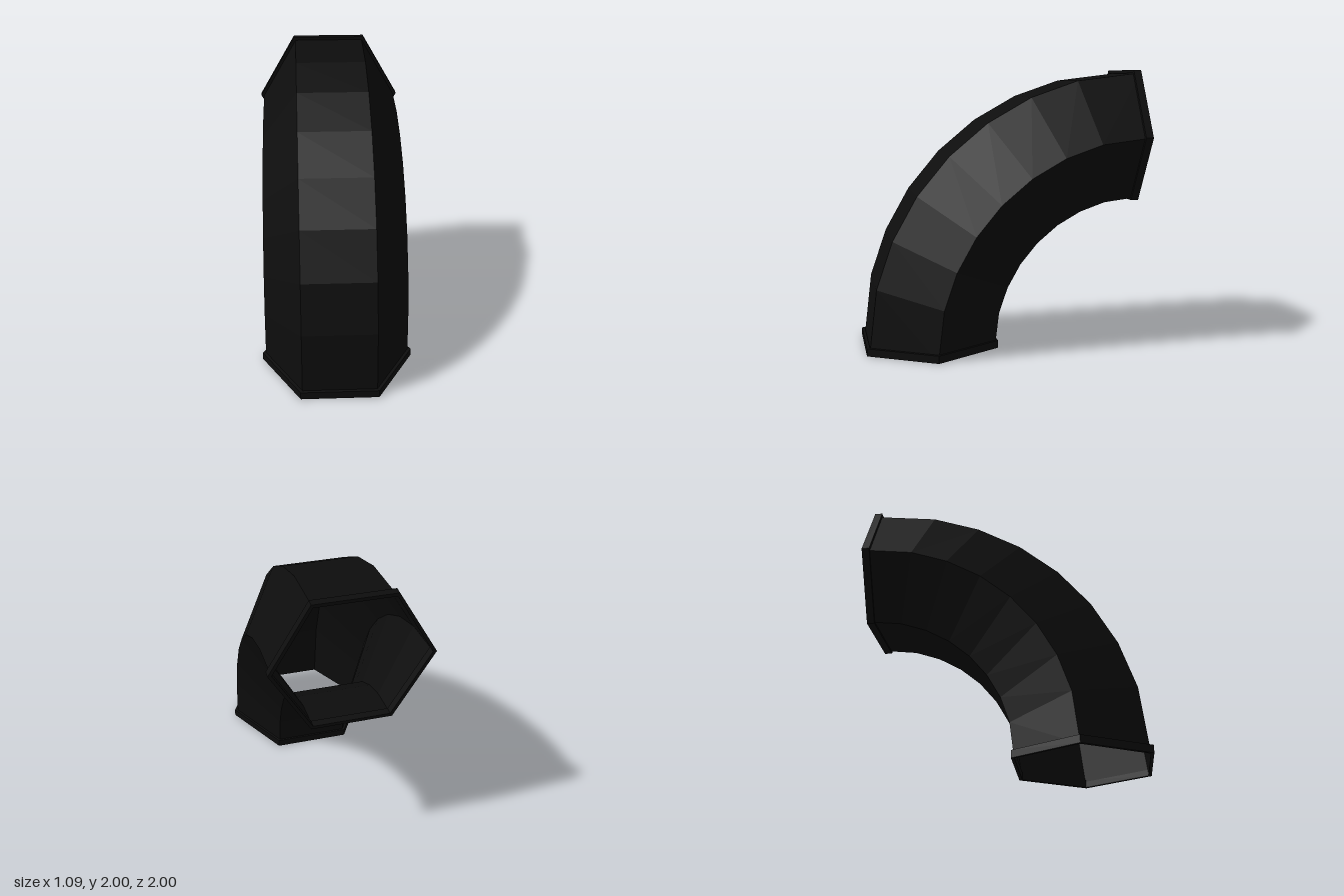
import * as THREE from 'three';

const BEND = 1.5275;  // radius of the bend's centre line, pivot at y = 0, z = -1
const DUCT = 0.5225;  // corner radius of the hexagonal duct
const RIM = 0.5456;   // corner radius of the end flanges
const RIM_DEPTH = 0.055;

// Hexagon corners with points at +x and -x
function hexagon(radius) {
  return Array.from({ length: 6 }, (_, k) => {
    const a = (k * Math.PI) / 3;
    return new THREE.Vector2(radius * Math.cos(a), radius * Math.sin(a));
  });
}

// Sweep the hexagon through a quarter turn
function ductGeometry() {
  const angles = [0];
  for (let i = -3; i <= 3; i++) angles.push(45 + i * 10.42);
  angles.push(90);
  const ring = hexagon(DUCT);
  const positions = [];
  const index = [];
  angles.forEach((deg, i) => {
    const a = THREE.MathUtils.degToRad(deg);
    ring.forEach((p, k) => {
      const r = BEND + p.y;
      positions.push(p.x, r * Math.sin(a), -1 + r * Math.cos(a));
      if (i === angles.length - 1) return;
      const n = (k + 1) % 6;
      const A = i * 6 + k, B = (i + 1) * 6 + k, C = (i + 1) * 6 + n, D = i * 6 + n;
      index.push(A, B, C, A, C, D);
    });
  });
  const g = new THREE.BufferGeometry();
  g.setAttribute('position', new THREE.Float32BufferAttribute(positions, 3));
  g.setIndex(index);
  const flat = g.toNonIndexed();
  flat.computeVertexNormals();
  return flat;
}

// Hexagonal collar with an open middle
function flangeGeometry() {
  const shape = new THREE.Shape(hexagon(RIM));
  shape.holes.push(new THREE.Path(hexagon(DUCT - 0.003)));
  return new THREE.ExtrudeGeometry(shape, { depth: RIM_DEPTH, bevelEnabled: false });
}

export function createModel() {
  const black = new THREE.MeshStandardMaterial({ color: 0x0d0d0d, side: THREE.DoubleSide });
  black.name = 'black';

  const model = new THREE.Group();
  model.name = 'ductElbow';
  const add = (name, geometry) => {
    const mesh = new THREE.Mesh(geometry, black);
    mesh.name = name;
    model.add(mesh);
    return mesh;
  };

  add('curvedDuct', ductGeometry());

  // Flanges at both open ends
  const rim = flangeGeometry();
  add('backFlange', rim).position.set(0, BEND, -1);
  const bottom = add('bottomFlange', rim);
  bottom.rotation.x = -Math.PI / 2;
  bottom.position.set(0, 0, BEND - 1);

  return model;
}
